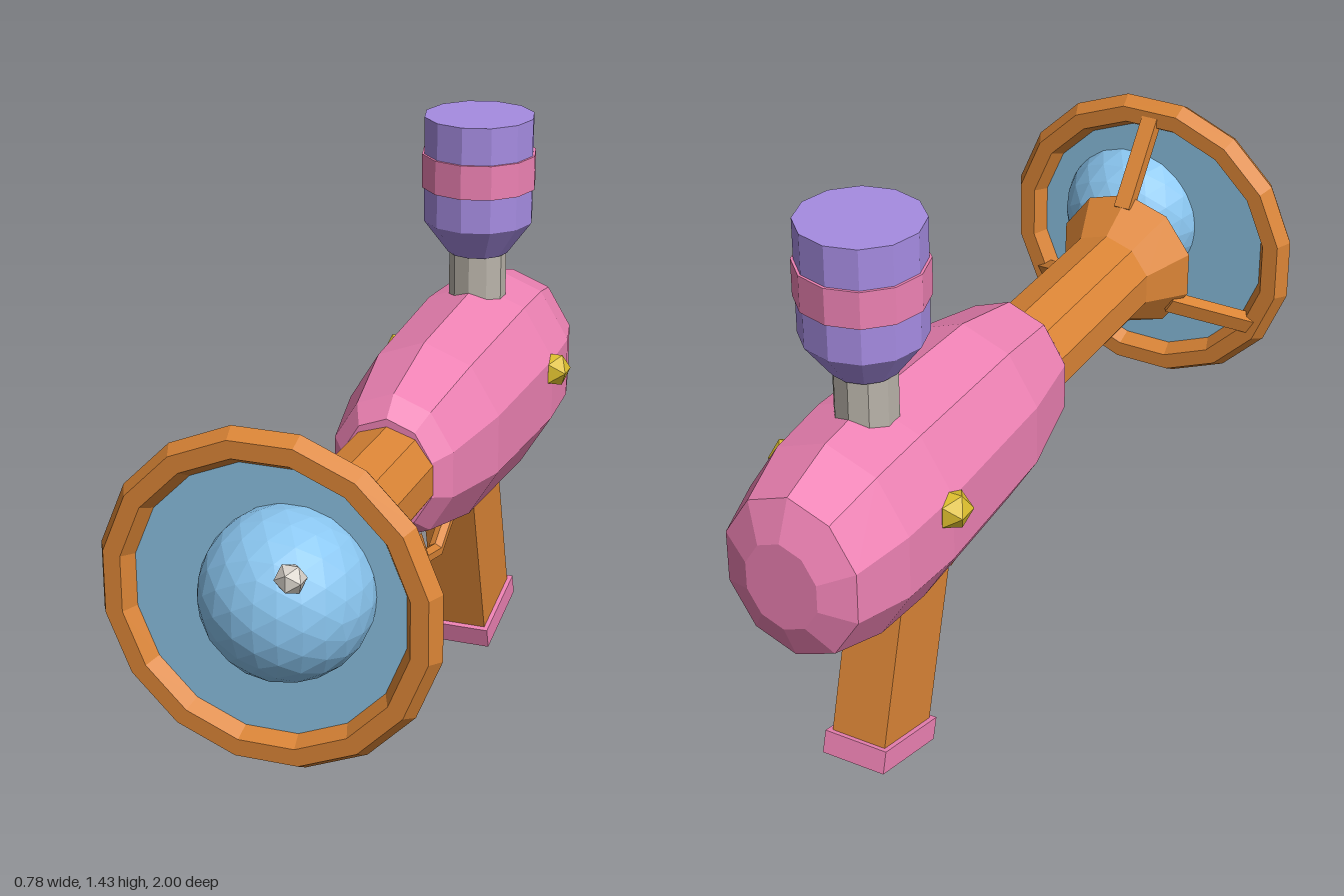
import * as THREE from 'three';

const AXIS_Y = 0.722;
const mat = (color, side = THREE.FrontSide) =>
  new THREE.MeshStandardMaterial({ color, side, flatShading: true });
const orange = mat(0xdb8536), pink = mat(0xee82b4), purple = mat(0xa68ce2);
const blue = mat(0x8ac6f0), glass = mat(0x8ac0e0, THREE.DoubleSide);
const grey = mat(0xbab4aa), white = mat(0xd8d2ca), yellow = mat(0xdcbe2e);

export function createModel() {
  const model = new THREE.Group();

  const add = (name, geometry, material, x = 0, y = 0, z = 0, parent = model) => {
    const mesh = new THREE.Mesh(geometry, material);
    mesh.name = name;
    mesh.position.set(x, y, z);
    parent.add(mesh);
    return mesh;
  };
  // Lathe from [radius, height] pairs, bottom to top
  const lathe = (pairs, sides) =>
    new THREE.LatheGeometry(pairs.map(([r, h]) => new THREE.Vector2(r, h)), sides);

  // Faceted body, narrower across than tall
  const body = lathe([[0, -1], [0.11, -1], [0.203, -0.96], [0.25, -0.81], [0.262, -0.64],
    [0.242, -0.23], [0.188, -0.01], [0.142, 0.04], [0, 0.04]], 10);
  body.rotateX(Math.PI / 2).scale(0.84, 1, 1);
  add('body', body, pink, 0, AXIS_Y, 0);

  // Barrel with flared muzzle
  const barrel = lathe([[0, 0], [0.122, 0], [0.122, 0.5], [0.185, 0.62], [0, 0.62]], 10);
  add('barrel', barrel.rotateX(Math.PI / 2), orange, 0, AXIS_Y, 0);

  // Dish: six-sided rim and thin disc
  const turn = Math.PI / 16;
  add('dishRim', new THREE.TorusGeometry(0.357, 0.041, 6, 16).rotateZ(turn), orange, 0, AXIS_Y, 0.767);
  add('dishDisc', new THREE.CircleGeometry(0.335, 16).rotateZ(turn), glass, 0, AXIS_Y, 0.767);

  // Three struts from muzzle to rim
  for (const deg of [90, 210, 330]) {
    const a = THREE.MathUtils.degToRad(deg);
    const at = (r, z) => new THREE.Vector3(r * Math.cos(a), AXIS_Y + r * Math.sin(a), z);
    const start = at(0.155, 0.595), end = at(0.35, 0.75);
    const strut = add('strut', new THREE.BoxGeometry(0.042, 0.035, start.distanceTo(end)), orange);
    strut.position.copy(start).lerp(end, 0.5);
    strut.up.set(Math.cos(a), Math.sin(a), 0);
    strut.lookAt(end);
  }

  // Bubble and its small highlight bead
  add('bubble', new THREE.IcosahedronGeometry(0.19, 3), blue, 0.06, 0.77, 0.81);
  add('bubbleBead', new THREE.IcosahedronGeometry(0.035, 0), white, 0.13, 0.88, 0.96);

  // Tank on a neck, with a band
  const tank = new THREE.Group();
  tank.name = 'tank';
  tank.position.z = -0.645;
  model.add(tank);
  add('tankNeck', new THREE.CylinderGeometry(0.073, 0.073, 0.18, 10), grey, 0, 1.0, 0, tank);
  add('tankBottle', lathe([[0, 1.075], [0.078, 1.075], [0.141, 1.16], [0.141, 1.43], [0, 1.43]], 12),
    purple, 0, 0, 0, tank);
  add('tankBand', new THREE.CylinderGeometry(0.147, 0.147, 0.087, 12), pink, 0, 1.292, 0, tank);

  // Side knobs
  for (const s of [1, -1])
    add('sideKnob', new THREE.IcosahedronGeometry(0.048, 0), yellow, s * 0.208, 0.775, -0.645);

  // Slanted grip with end plate
  const grip = new THREE.Group();
  grip.name = 'grip';
  grip.position.set(0, 0.06, -0.638);
  grip.rotation.x = 0.265;
  model.add(grip);
  add('gripHandle', new THREE.BoxGeometry(0.14, 0.47, 0.208), orange, 0, 0.255, 0, grip);
  add('gripBase', new THREE.BoxGeometry(0.163, 0.057, 0.235), pink, 0, 0, 0, grip);

  // Trigger guard and trigger
  const guard = new THREE.TorusGeometry(0.147, 0.02, 6, 4, Math.PI);
  guard.rotateZ(-Math.PI * 190 / 180).rotateY(-Math.PI / 2);
  add('triggerGuard', guard, orange, 0, 0.51, -0.3);
  add('trigger', new THREE.BoxGeometry(0.035, 0.07, 0.06), yellow, 0, 0.503, -0.3).rotation.x = 0.15;

  return model;
}
